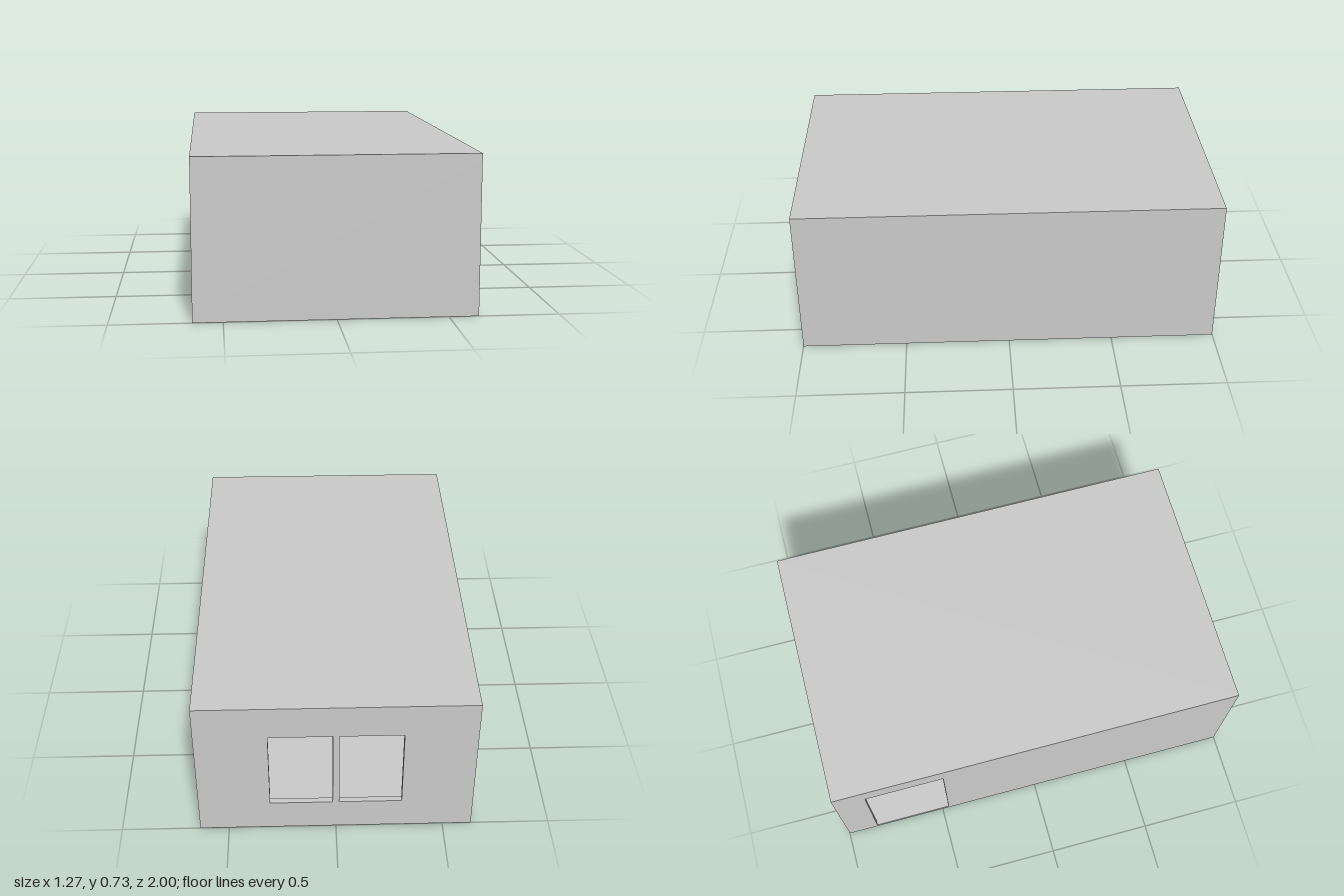
import * as THREE from 'three';

const W = 0.635, D = 1, H = 0.73; // half width, half depth, height
const T = 0.028;                  // wall and slab thickness
const FLOOR = 0.026;

const material = new THREE.MeshStandardMaterial({ color: 0xcccccc, flatShading: true });

function rect(PathType, x0, x1, y0, y1) {
  const p = new PathType();
  p.moveTo(x0, y0);
  p.lineTo(x1, y0);
  p.lineTo(x1, y1);
  p.lineTo(x0, y1);
  p.closePath();
  return p;
}

export function createModel() {
  const room = new THREE.Group();
  room.name = 'room';

  const add = (name, geometry, x, y, z) => {
    const mesh = new THREE.Mesh(geometry, material);
    mesh.name = name;
    mesh.position.set(x, y, z);
    room.add(mesh);
  };
  const box = (name, w, h, d, x, y, z) => add(name, new THREE.BoxGeometry(w, h, d), x, y, z);
  const extrude = (shape) => new THREE.ExtrudeGeometry(shape, { depth: T, bevelEnabled: false });

  // Floor and flat roof
  box('floor', 2 * W, FLOOR, 2 * D, 0, FLOOR / 2, 0);
  box('roof', 2 * W, T, 2 * D, 0, H - T / 2, 0);

  // Plain front and side walls
  const wallH = H - T - FLOOR, wallY = FLOOR + wallH / 2;
  box('frontWall', 2 * W, wallH, T, 0, wallY, D - T / 2);
  box('leftWall', T, wallH, 2 * (D - T), W - T / 2, wallY, 0);

  // Back wall: two window panes with a mullion left between them
  const back = rect(THREE.Shape, -W, W, FLOOR, H - T);
  back.holes.push(rect(THREE.Path, -0.304, -0.015, 0.156, 0.563));
  back.holes.push(rect(THREE.Path, 0.015, 0.304, 0.156, 0.563));
  add('backWallWithWindow', extrude(back), 0, 0, -D);

  // Right wall: outline runs around the doorway, which opens to the floor
  const z0 = -0.85, z1 = -0.467, doorTop = 0.62, e = D - T;
  const side = new THREE.Shape([
    [-e, FLOOR], [z0, FLOOR], [z0, doorTop], [z1, doorTop],
    [z1, FLOOR], [e, FLOOR], [e, H - T], [-e, H - T],
  ].map(([z, y]) => new THREE.Vector2(z, y)));
  add('rightWallWithDoorway', extrude(side).rotateY(-Math.PI / 2), -W + T, 0, 0);

  return room;
}
